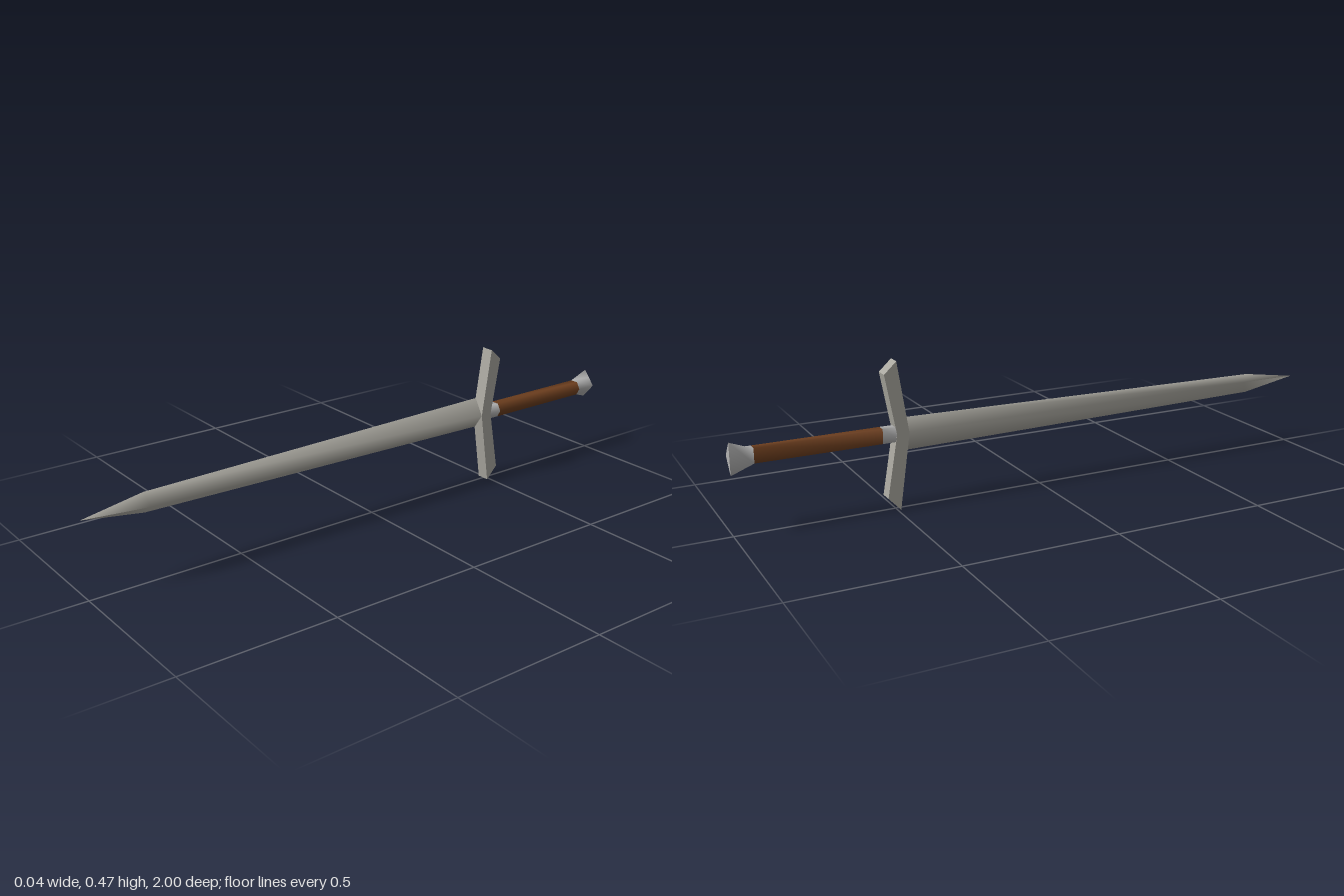
import * as THREE from 'three';

const MID = 0.242; // height of the sword's long axis

// Loft closed cross-sections (anticlockwise seen from +z) along z, with flat end caps.
function loft(rings) {
  const pos = [], idx = [], n = rings[0].points.length;
  const add = (points, z) => points.forEach(([x, y]) => pos.push(x, MID + y, z));
  rings.forEach(r => add(r.points, r.z));
  for (let i = 0; i < rings.length - 1; i++) {
    for (let j = 0; j < n; j++) {
      const a = i * n + j, b = i * n + (j + 1) % n;
      idx.push(a, b, b + n, a, b + n, a + n);
    }
  }
  [rings[0], rings[rings.length - 1]].forEach((r, end) => {
    const start = pos.length / 3;
    add(r.points, r.z);
    const c = [0, 1].map(k => r.points.reduce((s, p) => s + p[k], 0) / n);
    add([c], r.z);
    for (let j = 0; j < n; j++) {
      const a = start + j, b = start + (j + 1) % n;
      if (end) idx.push(start + n, a, b);
      else idx.push(start + n, b, a);
    }
  });
  const geo = new THREE.BufferGeometry();
  geo.setAttribute('position', new THREE.Float32BufferAttribute(pos, 3));
  geo.setIndex(idx);
  geo.computeVertexNormals();
  return geo;
}

export function createModel() {
  const group = new THREE.Group();
  const material = (name, color) => {
    const m = new THREE.MeshStandardMaterial({ color, side: THREE.DoubleSide });
    m.name = name;
    return m;
  };
  const steel = material('steel', 0xaaa8a0);
  const paleSteel = material('pale steel', 0xb2b2b2);
  const leather = material('brown leather', 0x70401f);
  const add = (name, geo, mat) => {
    const mesh = new THREE.Mesh(geo, mat);
    mesh.name = name;
    group.add(mesh);
  };

  // Blade: ridged on one side, shallow groove on the other
  const bladeSection = h => [[0.021, 0], [-0.021, h], [-0.012, 0], [-0.021, -h]];
  add('blade', loft([
    { z: -0.47, points: bladeSection(0.052) },
    { z: 0.8, points: bladeSection(0.032) },
    { z: 1, points: Array(4).fill([-0.015, 0]) },
  ]), steel);

  // Swept crossguard: side outline extruded across x
  const outline = [[-0.455, 0], [-0.49, 0.227], [-0.53, 0.19], [-0.495, 0], [-0.53, -0.2], [-0.49, -0.242]];
  const shape = new THREE.Shape(outline.map(([z, y]) => new THREE.Vector2(-z, y)));
  const guard = new THREE.ExtrudeGeometry(shape, { depth: 0.043, bevelEnabled: false });
  guard.rotateY(Math.PI / 2).translate(-0.022, MID, 0);
  add('crossguard', guard, steel);

  // Collar and grip share one section, flat at the back
  const grip = [[0.021, 0], [0.008, 0.023], [-0.021, 0.023], [-0.021, -0.023], [0.008, -0.023]];
  add('collar', loft([{ z: -0.54, points: grip }, { z: -0.48, points: grip }]), paleSteel);
  add('grip', loft([{ z: -0.93, points: grip }, { z: -0.54, points: grip }]), leather);

  // Pommel flares from the grip to a triangular end
  const flare = [[0.021, 0], [0, 0.026], [-0.021, 0.05], [-0.021, -0.05], [0, -0.026]];
  add('pommel', loft([{ z: -1, points: flare }, { z: -0.93, points: grip }]), paleSteel);

  return group;
}
